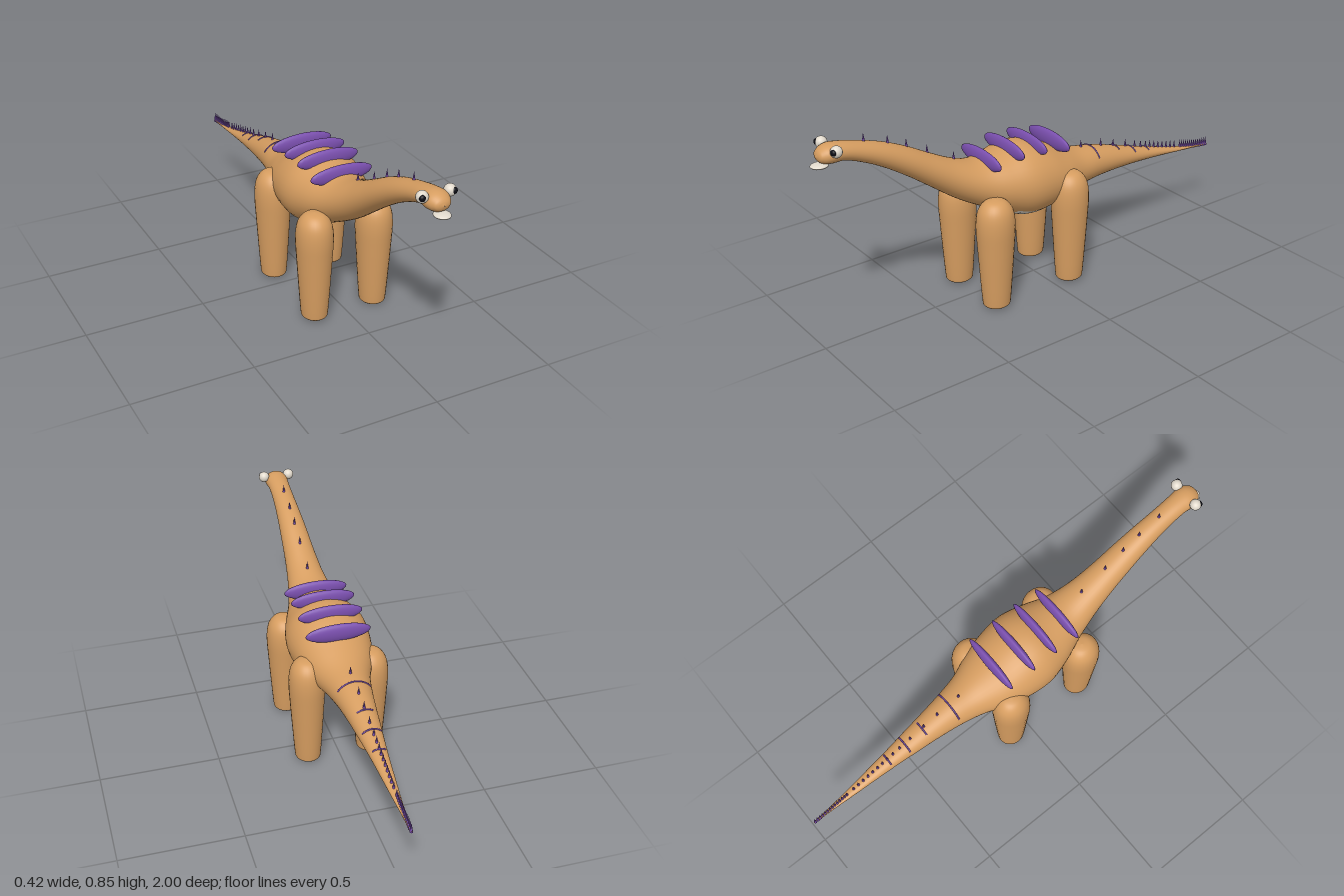
import * as THREE from 'three';

// Body stations, tail to nose: z, top y, bottom y, half width
const STATIONS = [
  [-1, 0.332, 0.326, 0.003], [-0.9, 0.345, 0.334, 0.01], [-0.8, 0.366, 0.344, 0.019],
  [-0.7, 0.392, 0.353, 0.028], [-0.6, 0.42, 0.36, 0.038], [-0.5, 0.45, 0.365, 0.05],
  [-0.4, 0.48, 0.366, 0.062], [-0.3, 0.505, 0.363, 0.077], [-0.2, 0.523, 0.355, 0.1],
  [-0.1, 0.562, 0.342, 0.14], [0, 0.61, 0.318, 0.165], [0.1, 0.63, 0.318, 0.172],
  [0.2, 0.612, 0.36, 0.148], [0.3, 0.606, 0.412, 0.11], [0.4, 0.638, 0.472, 0.084],
  [0.5, 0.688, 0.545, 0.069], [0.6, 0.742, 0.618, 0.06], [0.7, 0.786, 0.683, 0.052],
  [0.8, 0.817, 0.735, 0.046], [0.88, 0.836, 0.763, 0.046], [0.93, 0.84, 0.765, 0.049],
  [0.96, 0.828, 0.773, 0.036], [0.972, 0.815, 0.785, 0.022], [0.977, 0.801, 0.799, 0.001],
];
const spline = new THREE.CubicInterpolant(
  STATIONS.map((s) => s[0]), STATIONS.flatMap((s) => s.slice(1)), 3, new Float32Array(3));

function section(z) {
  const [top, bottom, rx] = spline.evaluate(z);
  return { top, cy: (top + bottom) / 2, ry: Math.max((top - bottom) / 2, 0.001), rx: Math.max(rx, 0.001) };
}

// Point on the skin; angle 0 is the spine, PI the belly
function skin(z, a) {
  const s = section(z);
  return new THREE.Vector3(s.rx * Math.sin(a), s.cy + s.ry * Math.cos(a), z);
}

// One smooth skin with the pale belly as a second material group
function bodyGeometry() {
  const sides = 40, sub = 5, zs = [];
  for (let k = STATIONS.length - 1; k > 0; k--)
    for (let i = 0; i < sub; i++)
      zs.push(THREE.MathUtils.lerp(STATIONS[k][0], STATIONS[k - 1][0], i / sub));
  zs.push(-1);
  const pos = [], hide = [], belly = [];
  for (const z of zs)
    for (let j = 0; j < sides; j++) pos.push(...skin(z, (j / sides) * Math.PI * 2).toArray());
  for (let i = 0; i < zs.length - 1; i++) {
    const u = ((zs[i] + zs[i + 1]) / 2 - 0.06) / 0.165;
    const limit = Math.abs(u) < 1 ? 0.78 * Math.sqrt(1 - u ** 4) : 0;
    for (let j = 0; j < sides; j++) {
      const n = (j + 1) % sides;
      const a = i * sides + j, b = i * sides + n, c = a + sides, d = b + sides;
      const fromBelly = Math.abs(((j + 0.5) / sides) * Math.PI * 2 - Math.PI);
      (fromBelly < limit ? belly : hide).push(a, b, c, b, d, c);
    }
  }
  const g = new THREE.BufferGeometry();
  g.setAttribute('position', new THREE.Float32BufferAttribute(pos, 3));
  g.setIndex([...hide, ...belly]);
  g.addGroup(0, hide.length, 0);
  g.addGroup(hide.length, belly.length, 1);
  g.computeVertexNormals();
  return g;
}

export function createModel() {
  const model = new THREE.Group();
  const material = (name, color) => {
    const m = new THREE.MeshStandardMaterial({ color });
    m.name = name;
    return m;
  };
  const tan = material('tan hide', 0xd69d60);
  const ivory = material('ivory', 0xe2dacd);
  const purple = material('purple', 0x7a4fae);
  const black = material('black', 0x0c0c14);

  const add = (name, geometry, mat, x = 0, y = 0, z = 0) => {
    const mesh = new THREE.Mesh(geometry, mat);
    mesh.name = name;
    mesh.position.set(x, y, z);
    model.add(mesh);
    return mesh;
  };
  const ball = new THREE.SphereGeometry(1, 24, 16);
  const ellipsoid = (name, mat, x, y, z, rx, ry, rz) =>
    add(name, ball, mat, x, y, z).scale.set(rx, ry, rz);

  add('body', bodyGeometry(), [tan, ivory]);

  // Tapered legs with domed shoulders
  const legProfile = new THREE.SplineCurve([
    [0, 0.003], [0.03, 0.004], [0.05, 0.013], [0.055, 0.035], [0.063, 0.15], [0.071, 0.28],
    [0.075, 0.36], [0.071, 0.415], [0.058, 0.45], [0.034, 0.473], [0, 0.48],
  ].map(([r, y]) => new THREE.Vector2(r, y))).getPoints(40);
  legProfile.forEach((p) => { p.x = Math.max(p.x, 0); });
  const legGeometry = new THREE.LatheGeometry(legProfile, 28);
  for (const side of [1, -1]) {
    const s = side > 0 ? 'left' : 'right';
    add(`${s}FrontLeg`, legGeometry, tan, side * 0.134, 0, 0.29).scale.z = 1.08;
    add(`${s}BackLeg`, legGeometry, tan, side * 0.134, 0, -0.085).scale.set(1, 1.04, 1.08);

    // Bulging eyes with forward pupils
    ellipsoid(`${s}Eye`, ivory, side * 0.056, 0.825, 0.922, 0.023, 0.023, 0.023);
    ellipsoid(`${s}Pupil`, black, side * 0.063, 0.827, 0.937, 0.013, 0.013, 0.01);
  }
  ellipsoid('lowerLip', ivory, 0, 0.763, 0.965, 0.031, 0.01, 0.035);

  // Broad plates across the back
  for (const [z, y] of [[0.26, 0.602], [0.147, 0.62], [0.035, 0.615], [-0.08, 0.596]])
    ellipsoid('backPlate', purple, 0, y, z, 0.136, 0.039, 0.018);

  // Spines down the neck and tail, closely packed at the tip
  const spineZ = [0.78, 0.68, 0.6, 0.51, 0.39, -0.25, -0.36, -0.43, -0.5, -0.555, -0.59];
  for (let z = -0.62; z > -0.82; z -= 0.025) spineZ.push(z);
  for (let z = -0.83; z >= -0.996; z -= 0.0125) spineZ.push(z);
  const spine = new THREE.ConeGeometry(0.007, 0.042, 8);
  for (const z of spineZ) add('spine', spine, purple, 0, section(z).top + 0.012, z);

  // Thin stripes draped over the tail
  for (const [z, reach] of [[-0.3, 1.05], [-0.44, 0.6], [-0.53, 0.95], [-0.62, 0.8]]) {
    const points = [];
    for (let i = 0; i <= 10; i++) points.push(skin(z, reach * (i / 5 - 1)));
    add('tailStripe', new THREE.TubeGeometry(new THREE.CatmullRomCurve3(points), 20, 0.0035, 6), purple);
  }
  return model;
}
